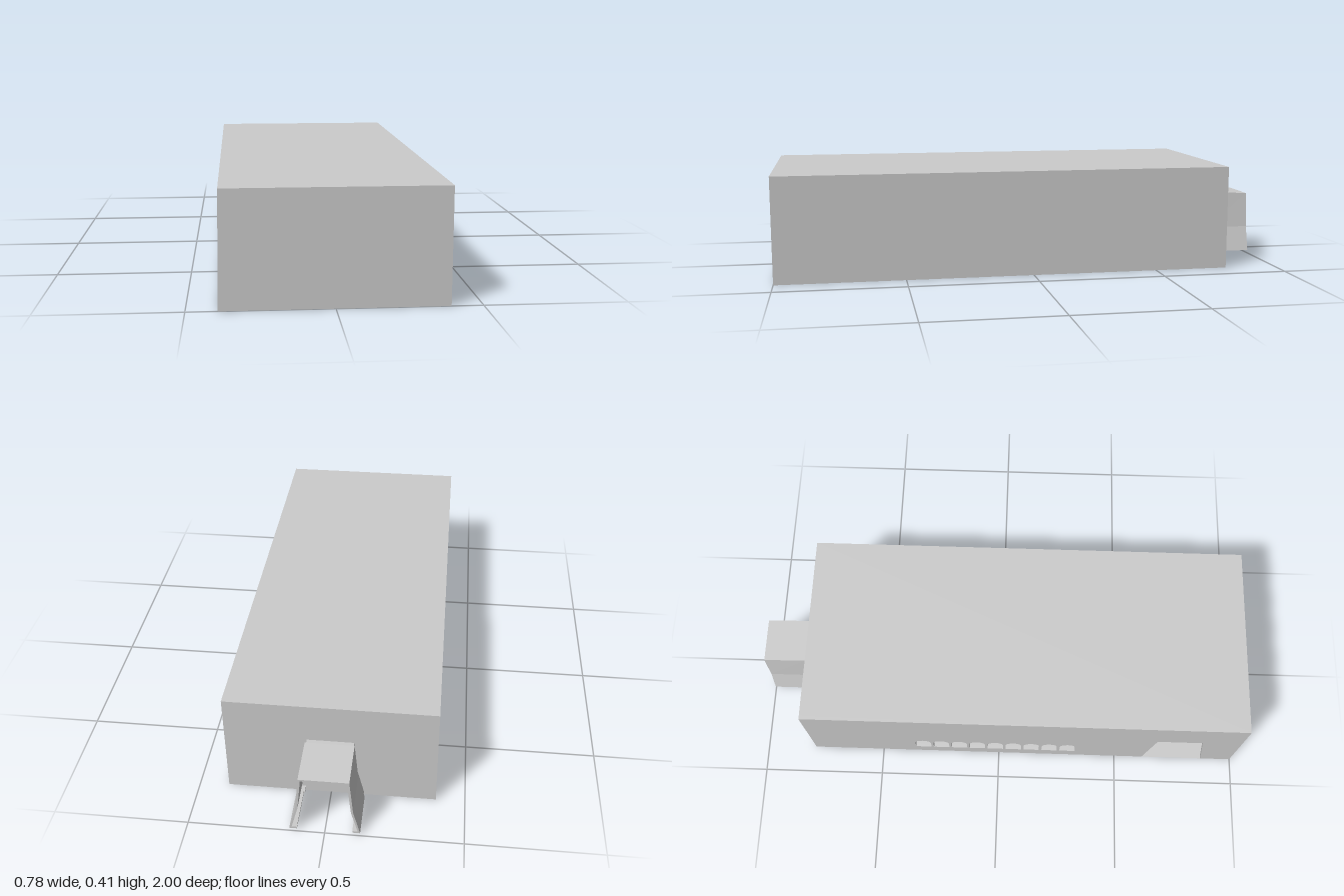
import * as THREE from 'three';

const material = new THREE.MeshStandardMaterial({
  color: 0xcccccc, flatShading: true, side: THREE.DoubleSide,
});
const H = 0.412, W = 0.39, BACK = -0.795, FRONT = 1;

function add(group, name, geometry) {
  const mesh = new THREE.Mesh(geometry, material);
  mesh.name = name;
  group.add(mesh);
  return mesh;
}

// Moves every vertex by a rule
function reshape(geometry, rule) {
  const p = geometry.attributes.position;
  const v = new THREE.Vector3();
  for (let i = 0; i < p.count; i++) {
    rule(v.fromBufferAttribute(p, i));
    p.setXYZ(i, v.x, v.y, v.z);
  }
  geometry.computeVertexNormals();
  return geometry;
}

const leanIn = (v) => { if (v.x < -0.3) v.x += 0.003 - 0.005 * (1 - v.y / H); };

// Thin hall shell: everything except the wall with the openings
function shellGeometry() {
  const g = new THREE.BoxGeometry(2 * W, H, FRONT - BACK);
  g.translate(0, H / 2, (FRONT + BACK) / 2);
  const index = Array.from(g.index.array);
  index.splice(6, 6);
  g.setIndex(index);
  g.clearGroups();
  return reshape(g, leanIn);
}

// Side wall drawn in (z, y), with a tapered doorway and a row of arched windows
function openWallGeometry() {
  const wall = new THREE.Shape([
    [BACK, 0], [0.62, 0], [0.655, 0.243], [0.84, 0.243],
    [0.875, 0], [FRONT, 0], [FRONT, H], [BACK, H],
  ].map(([z, y]) => new THREE.Vector2(z, y)));
  const count = 9, first = -0.36, pitch = 0.69 / count, r = 0.033;
  for (let i = 0; i < count; i++) {
    const c = first + pitch * (i + 0.5);
    const hole = new THREE.Path();
    hole.moveTo(c - r, 0.058);
    hole.lineTo(c + r, 0.058);
    hole.lineTo(c + r, 0.115);
    hole.absarc(c, 0.115, r, 0, Math.PI, false);
    hole.closePath();
    wall.holes.push(hole);
  }
  const g = new THREE.ExtrudeGeometry(wall, { depth: 0.015, bevelEnabled: false, curveSegments: 4 });
  g.rotateY(-Math.PI / 2).translate(0.015 - W, 0, 0);
  return reshape(g, leanIn);
}

// Porch section: flared legs with inward foot lips under a flat roof, open below
function porchGeometry(scale, z0, z1) {
  const outer = [[0.09, 0.268], [0.103, 0.115], [0.128, 0.013]];
  const inner = [[0.1, 0.013], [0.1, 0.021], [0.119, 0.021], [0.095, 0.115], [0.082, 0.26]];
  const half = [...outer, ...inner];
  const mirrored = half.map(([x, y]) => [-x, y]).reverse();
  const profile = new THREE.Shape([...half, ...mirrored].map(
    ([x, y]) => new THREE.Vector2(x * scale, y > 0.2 ? y * scale : y)));
  const g = new THREE.ExtrudeGeometry(profile, { depth: z1 - z0, bevelEnabled: false });
  return g.translate(0, 0, z0);
}

export function createModel() {
  const model = new THREE.Group();
  model.name = 'hall';
  add(model, 'hallShell', shellGeometry());
  add(model, 'openSideWall', openWallGeometry());

  // Porch on the back wall, its roof falling slightly outward
  const porch = new THREE.Group();
  porch.name = 'porch';
  model.add(porch);
  add(porch, 'porchNeck', porchGeometry(0.96, -0.825, BACK));
  add(porch, 'porchCanopy', reshape(porchGeometry(1, -1, -0.822), (v) => {
    if (v.y > 0.2) v.y += 0.05 * (v.z + 0.822);
  }));
  return model;
}
